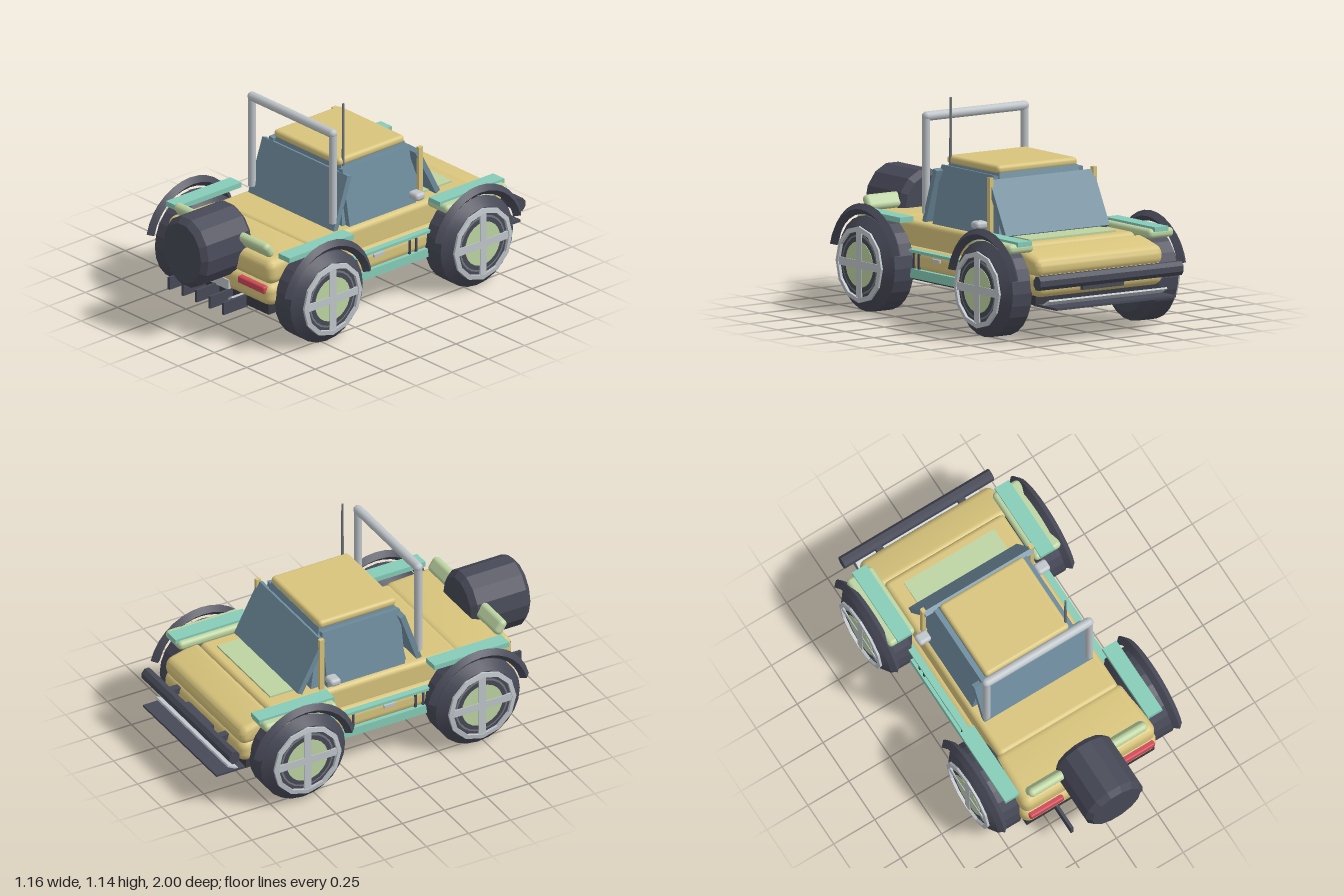
import * as THREE from 'three';
import { RoundedBoxGeometry } from 'three/addons/geometries/RoundedBoxGeometry.js';
import { toCreasedNormals } from 'three/addons/utils/BufferGeometryUtils.js';

const mat = (name, color) => {
  const m = new THREE.MeshStandardMaterial({ color });
  m.name = name;
  return m;
};

export function createModel() {
  const model = new THREE.Group();
  model.name = 'offroadCar';
  const tan = mat('tanPaint', 0xd8c47c);
  const glass = mat('blueGlass', 0x6f8d9e);
  const black = mat('blackRubber', 0x474957);
  const under = mat('darkUnderside', 0x3a3c44);
  const teal = mat('tealTrim', 0x86ccb8);
  const green = mat('paleGreen', 0xbdd4a2);
  const grey = mat('lightGreyMetal', 0xbfc5ca);
  const steel = mat('darkSteel', 0x74787e);
  const red = mat('redLamp', 0xcf4757);

  const add = (name, geo, material, x = 0, y = 0, z = 0, parent = model) => {
    const m = new THREE.Mesh(geo, material);
    m.name = name;
    m.position.set(x, y, z);
    parent.add(m);
    return m;
  };
  // box given by its lower and upper limits, rounded when r > 0
  const box = (name, material, x0, x1, y0, y1, z0, z1, r = 0) => {
    const s = [x1 - x0, y1 - y0, z1 - z0];
    const geo = r ? new RoundedBoxGeometry(...s, 4, r) : new THREE.BoxGeometry(...s);
    return add(name, geo, material, (x0 + x1) / 2, (y0 + y1) / 2, (z0 + z1) / 2);
  };
  // changes vertices of a mesh by a rule
  const reshape = (mesh, rule) => {
    const p = mesh.geometry.attributes.position, v = new THREE.Vector3();
    for (let i = 0; i < p.count; i++) {
      rule(v.fromBufferAttribute(p, i));
      p.setXYZ(i, v.x, v.y, v.z);
    }
    mesh.geometry = toCreasedNormals(mesh.geometry, 0.6);
    return mesh;
  };
  // flat-sided ring profile turned about the x axis
  const turned = (points, sides) => {
    const g = new THREE.LatheGeometry(points.map(p => new THREE.Vector2(...p)), sides);
    return toCreasedNormals(g.rotateZ(-Math.PI / 2), 0.2);
  };

  // body
  box('lowerBody', tan, -0.41, 0.41, 0.225, 0.355, -0.87, 0.765, 0.05);
  box('middleBody', tan, -0.365, 0.365, 0.33, 0.482, -0.68, 0.45, 0.03);
  reshape(box('rearBody', tan, -0.41, 0.41, 0.342, 0.482, 0.42, 0.755, 0.05),
    v => { v.x *= 0.97 + 0.15 * v.z; });
  reshape(box('noseBody', tan, -0.405, 0.405, 0.33, 0.475, -0.865, -0.665, 0.04),
    v => { if (v.y > 0) v.y += 0.25 * (v.z - 0.1); });
  box('chassis', under, -0.39, 0.39, 0.185, 0.24, -0.83, 0.75);
  box('skidPlate', steel, -0.285, 0.285, 0.17, 0.186, -0.84, -0.62);
  box('hoodPanel', green, -0.275, 0.275, 0.475, 0.492, -0.62, -0.42);

  // cabin: glass core, leaning panes and roof
  reshape(box('cabinCore', glass, -0.31, 0.31, 0.47, 0.8, -0.4, 0.17),
    v => { if (v.y > 0) { v.x *= 0.8; v.z = v.z < 0 ? -0.2 : 0.24; } });
  // leaning pane of thickness 0.03, centred on the line from (a, y0) to (b, y1)
  const pane = (name, width, a, y0, b, y1, side) => {
    const m = add(name, new THREE.BoxGeometry(side ? 0.03 : width, Math.hypot(b - a, y1 - y0), side ? width : 0.03), glass);
    const tilt = Math.atan2(b - a, y1 - y0), c = (a + b) / 2, y = (y0 + y1) / 2;
    if (side) { m.position.set(c, y, -0.085); m.rotation.z = -tilt; }
    else { m.position.set(0, y, c); m.rotation.x = tilt; }
  };
  pane('frontWindshield', 0.66, -0.475, 0.49, -0.33, 0.765, false);
  pane('rearWindow', 0.66, 0.235, 0.48, 0.137, 0.765, false);
  pane('leftWindow', 0.46, 0.325, 0.48, 0.268, 0.785, true);
  pane('rightWindow', 0.46, -0.325, 0.48, -0.268, 0.785, true);
  box('roof', tan, -0.255, 0.255, 0.79, 0.835, -0.315, 0.145, 0.02);
  add('antenna', new THREE.CylinderGeometry(0.006, 0.008, 0.35, 8), steel, 0.25, 0.965, 0.11);

  // roll bar
  for (const s of [1, -1])
    add('rollBarPost', new THREE.CylinderGeometry(0.021, 0.021, 0.51, 16), grey, s * 0.313, 0.78, 0.238);
  add('rollBarTop', new THREE.CapsuleGeometry(0.025, 0.62, 6, 16).rotateZ(Math.PI / 2), grey, 0, 1.03, 0.238);

  // parts mirrored on both sides
  for (const s of [1, -1]) {
    const span = (name, m, x0, x1, ...rest) =>
      s > 0 ? box(name, m, x0, x1, ...rest) : box(name, m, -x1, -x0, ...rest);
    span('pillar', tan, 0.318, 0.34, 0.48, 0.785, -0.362, -0.335);
    span('mirror', grey, 0.325, 0.4, 0.515, 0.557, -0.33, -0.265, 0.018);
    span('sill', teal, 0.36, 0.425, 0.2, 0.248, -0.36, 0.28);
    span('sideTrim', teal, 0.38, 0.424, 0.332, 0.347, -0.36, 0.28);
    for (const z of [0.21, 0.165, -0.205, -0.25])
      span('sideStrut', black, 0.395, 0.416, 0.245, 0.333, z - 0.006, z + 0.006);
    span('doorHandle', grey, 0.4, 0.42, 0.303, 0.32, -0.025, 0.045);
    span('rearFenderPlank', teal, 0.392, 0.478, 0.487, 0.515, 0.24, 0.685);
    span('frontFenderPlank', teal, 0.392, 0.478, 0.492, 0.517, -0.8, -0.355);
    span('frontFenderPad', green, 0.365, 0.525, 0.455, 0.505, -0.79, -0.36, 0.022);
    span('tailLamp', red, 0.175, 0.38, 0.303, 0.343, 0.74, 0.776, 0.01);
  }

  // wheels with dark arches
  const tyre = turned([[0.001, -0.1], [0.2, -0.1], [0.25, -0.06], [0.25, 0.06], [0.2, 0.1], [0.001, 0.1]], 24);
  const rim = turned([[0.175, 0], [0.175, 0.016], [0.2, 0.012], [0.2, 0]].reverse(), 12);
  rim.computeBoundingBox();
  const rimMat = grey.clone();
  rimMat.side = THREE.DoubleSide;
  const disc = (r, d) => new THREE.CylinderGeometry(r, r, d, 24).rotateZ(Math.PI / 2);
  const arcEnd = 0.24;
  const arch = toCreasedNormals(
    new THREE.TorusGeometry(0.28, 0.028, 4, 14, Math.PI - 2 * arcEnd).rotateZ(arcEnd).rotateY(Math.PI / 2), 0.5);
  const archMat = black.clone();
  archMat.side = THREE.DoubleSide;
  for (const s of [1, -1]) for (const z of [0.47, -0.568]) {
    const wheel = new THREE.Group();
    wheel.name = 'wheel';
    wheel.position.set(s * 0.465, 0.25, z);
    wheel.rotation.y = s > 0 ? 0 : Math.PI;
    model.add(wheel);
    add('tyre', tyre, black, 0, 0, 0, wheel);
    add('rimRing', rim, rimMat, 0.1, 0, 0, wheel);
    add('innerRing', disc(0.155, 0.006), steel, 0.1, 0, 0, wheel);
    add('hubRing', disc(0.145, 0.007), black, 0.101, 0, 0, wheel);
    add('hubDisc', disc(0.12, 0.01), green, 0.102, 0, 0, wheel);
    add('spokeUpright', new THREE.BoxGeometry(0.014, 0.37, 0.042), grey, 0.104, 0, 0, wheel);
    add('spokeLevel', new THREE.BoxGeometry(0.0139, 0.042, 0.37), grey, 0.104, 0, 0, wheel);
    add('wheelArch', arch, archMat, s * 0.533, 0.257, z);
  }

  // equipment at the spare wheel end
  const spare = turned([[0.001, -0.175], [0.166, -0.175], [0.196, -0.145], [0.196, 0.145], [0.166, 0.175], [0.001, 0.175]], 14);
  add('spareWheel', spare.rotateY(-Math.PI / 2), black, 0, 0.476, 0.825).scale.x = 0.88;
  const spoiler = box('spoiler', green, -0.36, 0.36, 0.478, 0.565, 0.685, 0.735, 0.024);
  spoiler.rotation.x = 0.6;
  box('numberPlate', grey, -0.105, 0.105, 0.235, 0.29, 0.755, 0.772);
  for (let i = -2; i <= 2; i++)
    box('prong', black, i * 0.105 - 0.008, i * 0.105 + 0.008, 0.172, 0.24, 0.74, 0.905);
  add('exhaust', new THREE.CylinderGeometry(0.026, 0.026, 0.12, 16).rotateX(Math.PI / 2), grey, 0.19, 0.215, 0.77);

  // bumper end
  add('bumperBar', toCreasedNormals(new THREE.CylinderGeometry(0.037, 0.037, 0.91, 8)
    .rotateY(Math.PI / 8).rotateZ(Math.PI / 2).scale(1, 1.05, 0.9), 0.3), black, 0, 0.318, -0.935);
  for (const x of [-0.25, 0.25]) box('bumperMount', black, x - 0.02, x + 0.02, 0.3, 0.335, -0.93, -0.84);
  box('grilleBlock', black, -0.13, 0.13, 0.25, 0.312, -0.89, -0.85);
  box('splitter', black, -0.38, 0.38, 0.178, 0.19, -1, -0.8);
  const strip = box('splitterStrip', grey, -0.375, 0.375, 0.195, 0.205, -0.935, -0.855);
  strip.rotation.x = 0.5;
  return model;
}
